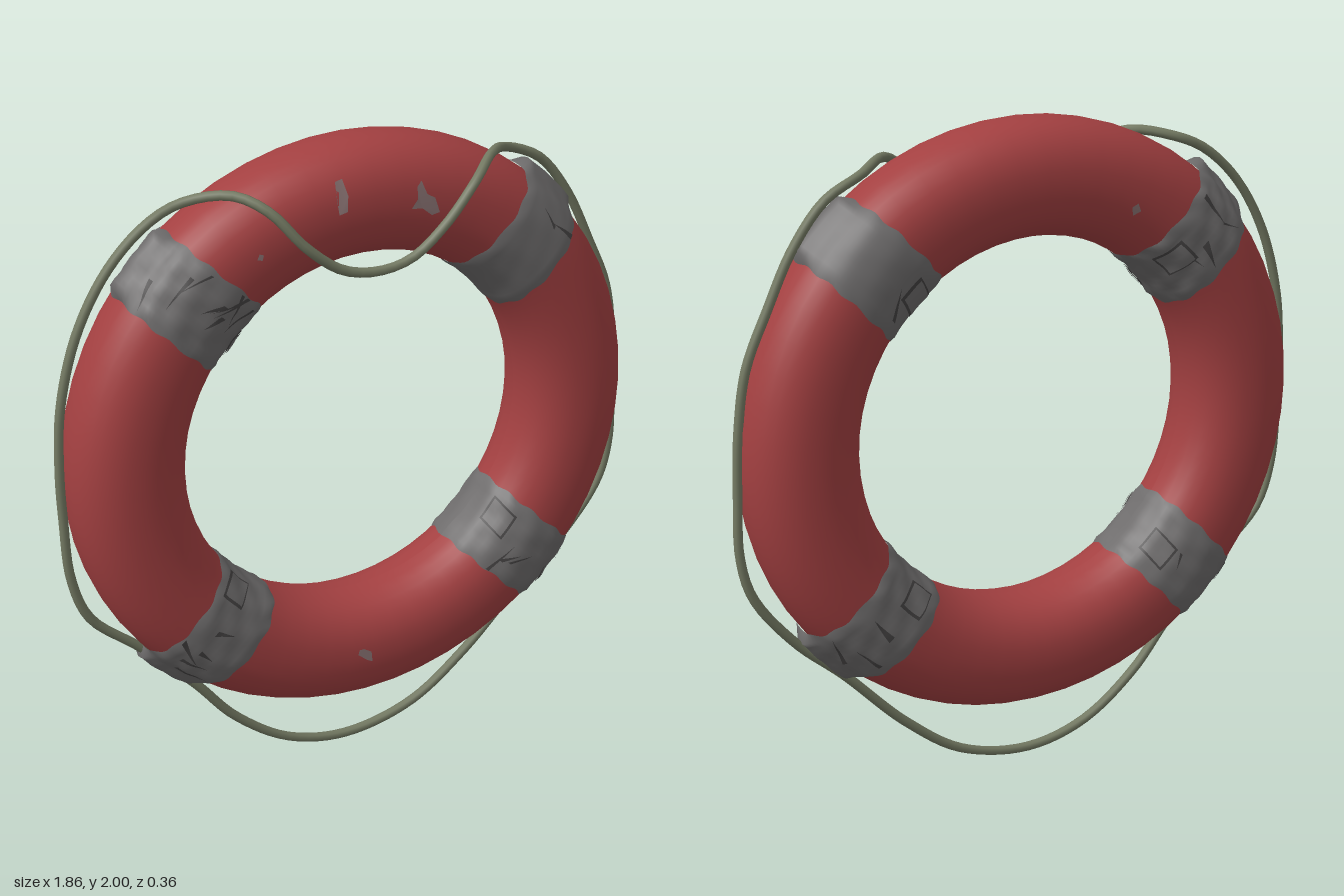
import * as THREE from 'three';

const CY = 1.1, CZ = -0.013, MAJOR = 0.726, RAD = 0.172, DEPTH = 0.159;
const deg = Math.PI / 180;

const material = (name, color, extra = {}) => {
  const m = new THREE.MeshStandardMaterial({ color, ...extra });
  m.name = name;
  return m;
};

// Slightly squared cross-section of the ring: phi 0 is outermost, 90 degrees is the front
const soft = (v) => Math.sign(v) * Math.pow(Math.abs(v), 0.88);
const profile = (phi, lift = 0) => new THREE.Vector2(
  MAJOR + soft(Math.cos(phi)) * (RAD + lift),
  soft(Math.sin(phi)) * (DEPTH + lift));

// Point on the ring, s measured across a straight-sided strip centred on an angle
function onRing(angle, s, phi, lift) {
  const p = profile(phi, lift);
  const a = angle + Math.asin(s / p.x);
  return [p.x * Math.cos(a), CY + p.x * Math.sin(a), CZ + p.y];
}

// Grid bent onto the ring; rule(u, v) with u, v in -1..1 returns [s, phi, lift]
function patch(angle, nu, nv, rule) {
  const g = new THREE.PlaneGeometry(2, 2, nu, nv);
  const pos = g.attributes.position;
  for (let i = 0; i < pos.count; i++) {
    pos.setXYZ(i, ...onRing(angle, ...rule(pos.getX(i), pos.getY(i))));
  }
  g.computeVertexNormals();
  return g;
}

function seeded(seed) {
  return () => {
    seed = (seed * 16807) % 2147483647;
    return seed / 2147483647;
  };
}

export function createModel() {
  const group = new THREE.Group();
  const red = material('faded red', 0xa34041);
  const tape = material('grey tape', 0x6e6c6c);
  const crease = material('dark crease', 0x454343);
  const cord = material('olive cord', 0x747a63);
  const worn = material('worn paint', 0x8a7373, { side: THREE.DoubleSide });

  const add = (name, geometry, mat, parent = group) => {
    const mesh = new THREE.Mesh(geometry, mat);
    mesh.name = name;
    parent.add(mesh);
    return mesh;
  };

  // Float ring
  const section = [];
  for (let i = 0; i <= 32; i++) section.push(profile(-Math.PI + (i / 32) * Math.PI * 2));
  const ringGeometry = new THREE.LatheGeometry(section, 56);
  ringGeometry.rotateX(Math.PI / 2);
  add('floatRing', ringGeometry, red).position.set(0, CY, CZ);

  // Tape wraps: wrinkle height, and flaps as [s, phi in degrees]
  const wraps = [
    { name: 'upperLeftWrap', angle: 46, wrinkle: 0.001, creases: 3, flaps: [[0.02, -125]] },
    { name: 'upperRightWrap', angle: 136, wrinkle: 0.004, creases: 13, flaps: [[-0.03, -120], [0.02, 152]] },
    { name: 'lowerRightWrap', angle: 226.5, wrinkle: 0.003, creases: 8, flaps: [[-0.045, 138], [0.02, -130]] },
    { name: 'lowerLeftWrap', angle: -43.5, wrinkle: 0.003, creases: 9, flaps: [[0.035, 140], [-0.03, -125]] },
  ];
  wraps.forEach(({ name, angle, wrinkle, creases, flaps }, k) => {
    const wrap = new THREE.Group();
    wrap.name = name;
    group.add(wrap);
    const a = angle * deg, half = 0.114, rand = seeded(71 + k * 977);
    // The tape bulges over the cord on the outer rim
    const height = (s, phi) => 0.006
      + 0.028 * Math.exp(-Math.pow(phi / 0.2, 2))
      + wrinkle * Math.sin(phi * 9 + s * 32 + k) * Math.cos(s * 45 - phi * 3 + k);
    add('tapeBand', patch(a, 12, 72, (u, v) => {
      const phi = v * Math.PI;
      const ragged = Math.abs(u) === 1 ? 0.004 * Math.sin(phi * 11 + u * 2 + k) : 0;
      const s = u * half + ragged;
      return [s, phi, Math.abs(u) === 1 ? 0.001 : height(s, phi)];
    }), tape, wrap);

    // Torn flaps with a dark outline
    for (const [s0, p0] of flaps) {
      for (const [size, lift, mat] of [[1, 0.003, crease], [0.84, 0.006, tape]]) {
        add('tapeFlap', patch(a, 4, 6, (u, v) => {
          const s = s0 + u * 0.042 * size + v * 0.006;
          const phi = p0 * deg + v * 0.3 * size;
          return [s, phi, height(s, phi) + lift];
        }), mat, wrap);
      }
    }

    // Tapered folds running across the tape
    for (let i = 0; i < creases; i++) {
      const s0 = (rand() - 0.5) * 0.12, side = i % 3 === 2 ? -1 : 1;
      const p0 = side * (0.5 + rand() * 1.6), slant = (rand() - 0.5) * 0.5;
      const length = 0.025 + rand() * 0.035, width = 0.018 + rand() * 0.03;
      add('tapeFold', patch(a, 6, 2, (u, v) => {
        const s = s0 + u * length;
        const phi = p0 + u * slant * 0.6 + v * width * (1 - u) * 0.6;
        return [s, phi, height(s, phi) + 0.003];
      }), crease, wrap);
    }
  });

  // Grab cord: one closed loop, draped over the front at the top
  const z = -0.013;
  const path = [
    [-0.02, 0.015, z], [-0.22, 0.06, z], [-0.4, 0.19, z], [-0.53, 0.345, z], [-0.7, 0.52, z],
    [-0.85, 0.66, z], [-0.9, 0.8, z], [-0.913, 1, z], [-0.915, 1.16, z], [-0.9, 1.35, z],
    [-0.84, 1.56, z], [-0.74, 1.73, z], [-0.62, 1.84, z], [-0.52, 1.885, -0.005],
    [-0.4, 1.905, 0.06], [-0.32, 1.865, 0.125], [-0.23, 1.76, 0.162], [-0.12, 1.675, 0.165],
    [-0.01, 1.65, 0.165], [0.1, 1.67, 0.165], [0.21, 1.755, 0.165], [0.31, 1.86, 0.15],
    [0.4, 1.905, 0.08], [0.5, 1.882, 0.003], [0.62, 1.825, z], [0.72, 1.7, z],
    [0.8, 1.54, z], [0.87, 1.38, z], [0.9, 1.2, z], [0.91, 1, z], [0.91, 0.83, z],
    [0.875, 0.7, z], [0.75, 0.535, z], [0.6, 0.4, z], [0.4, 0.2, z], [0.21, 0.065, z],
  ].map((p) => new THREE.Vector3(...p));
  const curve = new THREE.CatmullRomCurve3(path, true, 'centripetal');
  add('grabCord', new THREE.TubeGeometry(curve, 180, 0.0145, 8, true), cord);

  // Worn paint chips: irregular outlines laid on the front or back face
  const chip = (outline, side) => {
    const g = new THREE.ShapeGeometry(new THREE.Shape(outline.map((p) => new THREE.Vector2(...p))));
    const pos = g.attributes.position;
    for (let i = 0; i < pos.count; i++) {
      const x = pos.getX(i), y = pos.getY(i);
      const c = (Math.hypot(x, y - CY) - MAJOR) / RAD;
      const depth = DEPTH * Math.pow(1 - Math.pow(Math.abs(c), 1 / 0.44), 0.44);
      pos.setZ(i, CZ + side * (depth + 0.004));
    }
    g.computeVertexNormals();
    add('paintChip', g, worn);
  };
  chip([[-0.12, 1.83], [-0.095, 1.835], [-0.09, 1.88], [-0.1, 1.925], [-0.122, 1.92], [-0.125, 1.87]], 1);
  chip([[0.105, 1.81], [0.14, 1.805], [0.17, 1.78], [0.195, 1.785], [0.18, 1.83],
    [0.155, 1.845], [0.14, 1.885], [0.125, 1.87], [0.125, 1.835]], 1);
  chip([[-0.06, 0.4], [-0.03, 0.375], [-0.012, 0.365], [-0.015, 0.4], [-0.04, 0.415], [-0.055, 0.415]], 1);
  chip([[-0.37, 1.745], [-0.355, 1.74], [-0.35, 1.755], [-0.363, 1.76]], 1);
  chip([[-0.3, 1.72], [-0.275, 1.71], [-0.27, 1.735], [-0.29, 1.745]], -1);

  return group;
}
